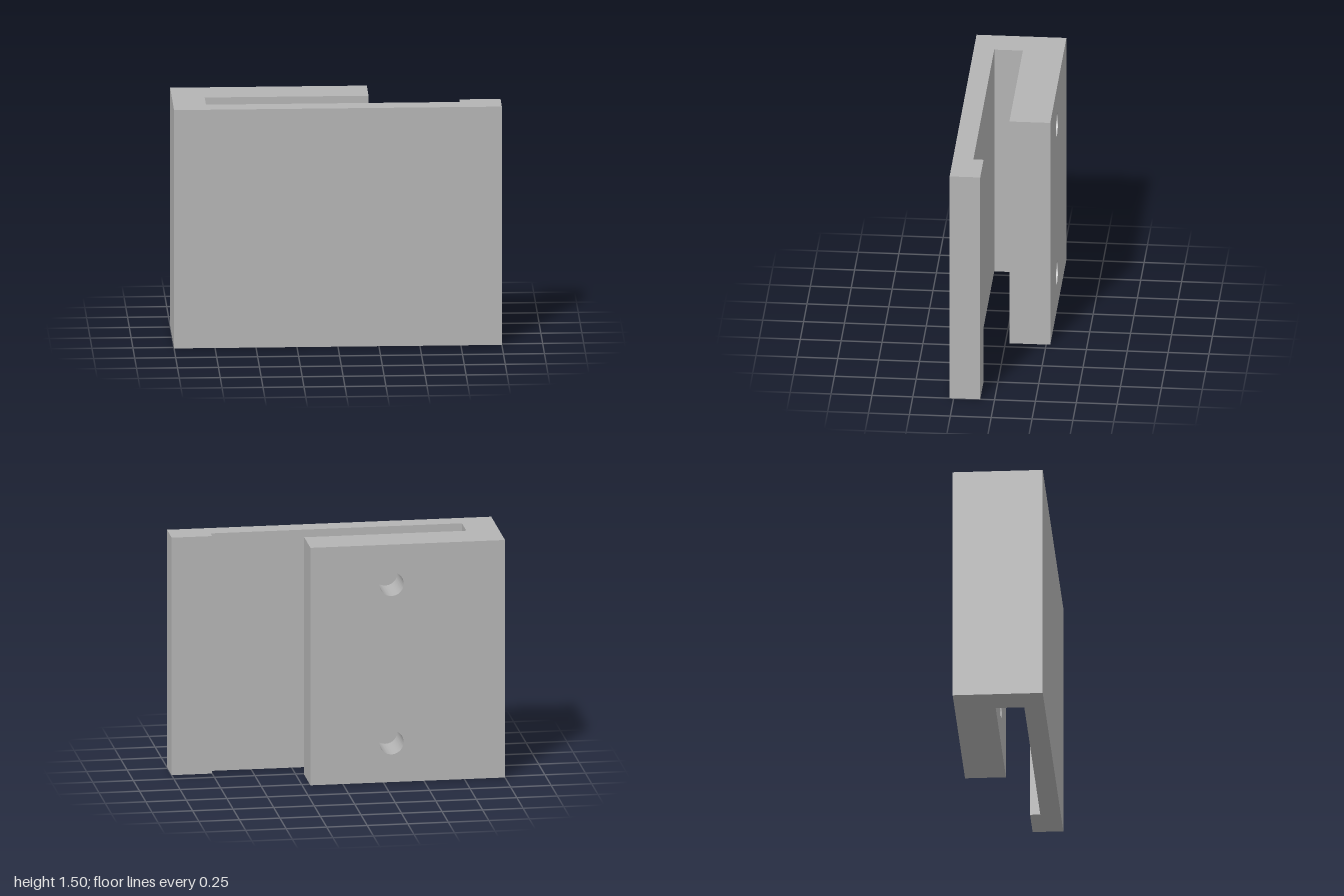
import * as THREE from 'three';
import { toCreasedNormals } from 'three/addons/utils/BufferGeometryUtils.js';

const HEIGHT = 1.5;
const BACK = -0.275, SLOT_BACK = -0.025, LIP = 0.0875, SLOT_FRONT = 0.15, FRONT = 0.275;

export function createModel() {
  const group = new THREE.Group();
  group.name = 'clipBracket';
  const grey = new THREE.MeshStandardMaterial({ color: 0xb4b4b4 });
  grey.name = 'grey';

  const add = (name, geometry) => {
    const mesh = new THREE.Mesh(geometry, grey);
    mesh.name = name;
    group.add(mesh);
  };

  // Front plate with its end lip and the web joining it to the back block,
  // drawn in plan (x, -z) and extruded upwards
  const plan = new THREE.Shape([
    [-1, FRONT], [1, FRONT], [1, LIP], [0.75, LIP], [0.75, SLOT_FRONT],
    [-0.8, SLOT_FRONT], [-0.8, SLOT_BACK], [-1, SLOT_BACK],
  ].map(([x, z]) => new THREE.Vector2(x, -z)));
  const plate = new THREE.ExtrudeGeometry(plan, { depth: HEIGHT, bevelEnabled: false });
  plate.rotateX(-Math.PI / 2);
  add('frontPlate', plate);

  // Back block with two round screw holes through to the slot
  const block = new THREE.Shape([
    [-1, 0], [0.2, 0], [0.2, HEIGHT], [-1, HEIGHT],
  ].map(([x, y]) => new THREE.Vector2(x, y)));
  for (const y of [0.25, 1.25]) {
    block.holes.push(new THREE.Path().absarc(-0.3, y, 0.075, 0, Math.PI * 2, true));
  }
  const blockGeometry = new THREE.ExtrudeGeometry(block, {
    depth: SLOT_BACK - BACK, bevelEnabled: false, curveSegments: 40,
  });
  blockGeometry.translate(0, 0, BACK);
  add('backBlock', toCreasedNormals(blockGeometry, 0.6));

  return group;
}
